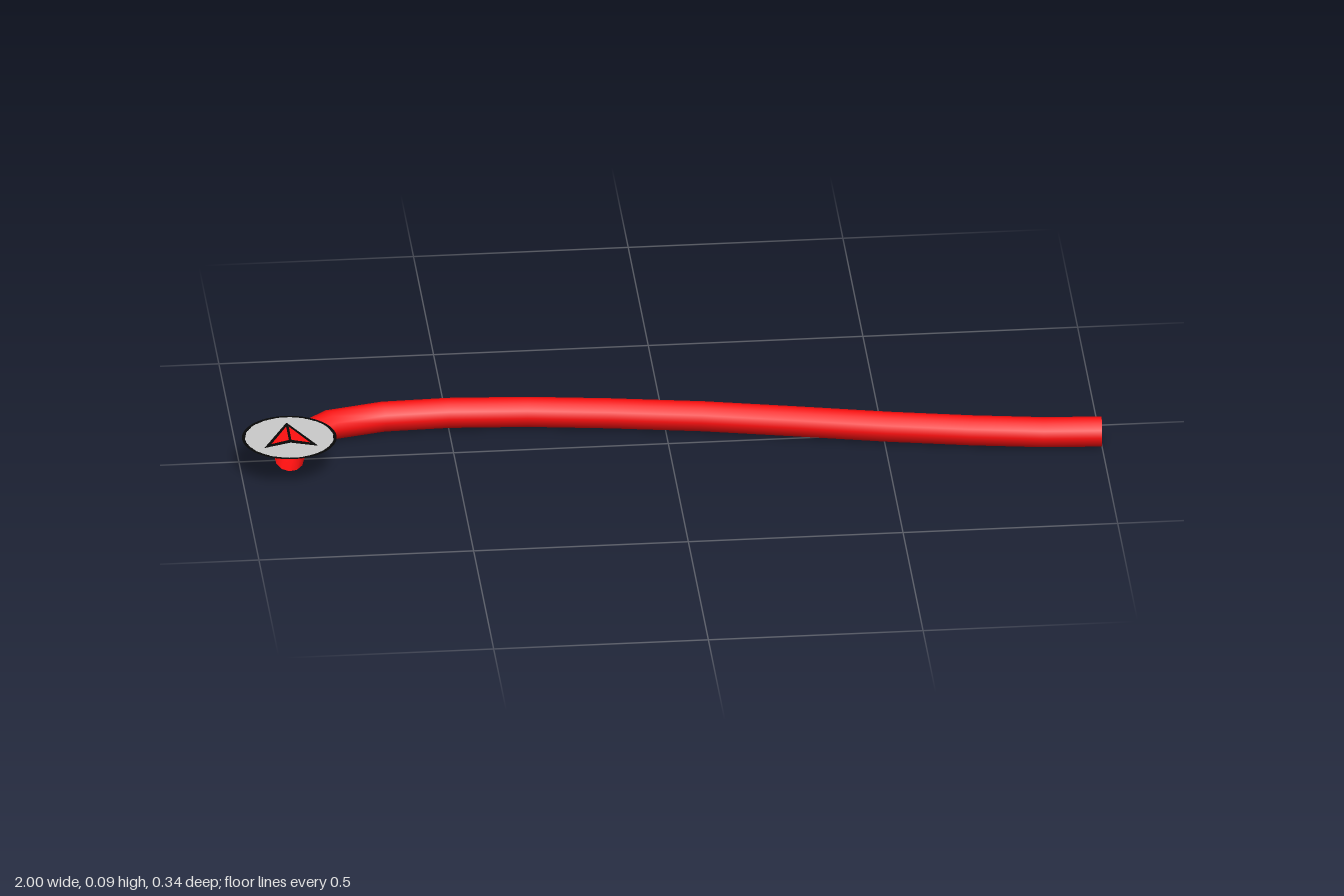
import * as THREE from 'three';

const material = (color) => new THREE.MeshStandardMaterial({ color, side: THREE.DoubleSide });

// Flat geometry lying on the ground plane, its shape's +y pointing to -z
function flat(name, geometry, mat, y) {
  geometry.rotateX(-Math.PI / 2);
  const mesh = new THREE.Mesh(geometry, mat);
  mesh.name = name;
  mesh.position.y = y;
  return mesh;
}

const polygon = (points) =>
  new THREE.ShapeGeometry(new THREE.Shape(points.map(([x, y]) => new THREE.Vector2(x, y))));

export function createModel() {
  const model = new THREE.Group();
  model.name = 'routeWithMarker';
  const red = material(0xff1010);
  const black = material(0x080808);
  const grey = material(0xcccccc);

  // Curved route tube, one ring per path point, open at both ends
  const radius = 0.035;
  const path = [
    [-0.888, 0.058], [-0.87, -0.02], [-0.78, -0.1], [-0.652, -0.13], [-0.5, -0.135],
    [-0.316, -0.123], [-0.128, -0.098], [0.086, -0.063], [0.3, -0.017], [0.51, 0.03],
    [0.7, 0.066], [0.866, 0.091], [1, 0.1],
  ];
  const curve = new THREE.CatmullRomCurve3(path.map(([x, z]) => new THREE.Vector3(x, radius, z)));
  curve.getPointAt = curve.getPoint;
  curve.getTangentAt = curve.getTangent;
  const tube = new THREE.Mesh(new THREE.TubeGeometry(curve, path.length - 1, radius, 12), red);
  tube.name = 'routeTube';
  model.add(tube);

  // Round position marker hovering over the start of the route
  const marker = new THREE.Group();
  marker.name = 'positionMarker';
  marker.position.set(-0.888, 0.088, 0.058);
  marker.add(flat('markerDisc', new THREE.CircleGeometry(0.103, 48), grey, 0));
  marker.add(flat('markerRim', new THREE.RingGeometry(0.102, 0.11, 48), black, 0));

  // Arrow: black outline with two red halves divided by a thin ridge line
  const outline = [[0, 0.072], [-0.063, -0.052], [0, -0.03], [0.063, -0.052]];
  marker.add(flat('arrowOutline', polygon(outline), black, 0.002));
  for (const side of [-1, 1]) {
    const half = [[0.003, 0.048], [0.003, -0.02], [0.045, -0.037]].map(([x, y]) => [side * x, y]);
    marker.add(flat(side < 0 ? 'arrowRightHalf' : 'arrowLeftHalf', polygon(half), red, 0.004));
  }
  model.add(marker);
  return model;
}
